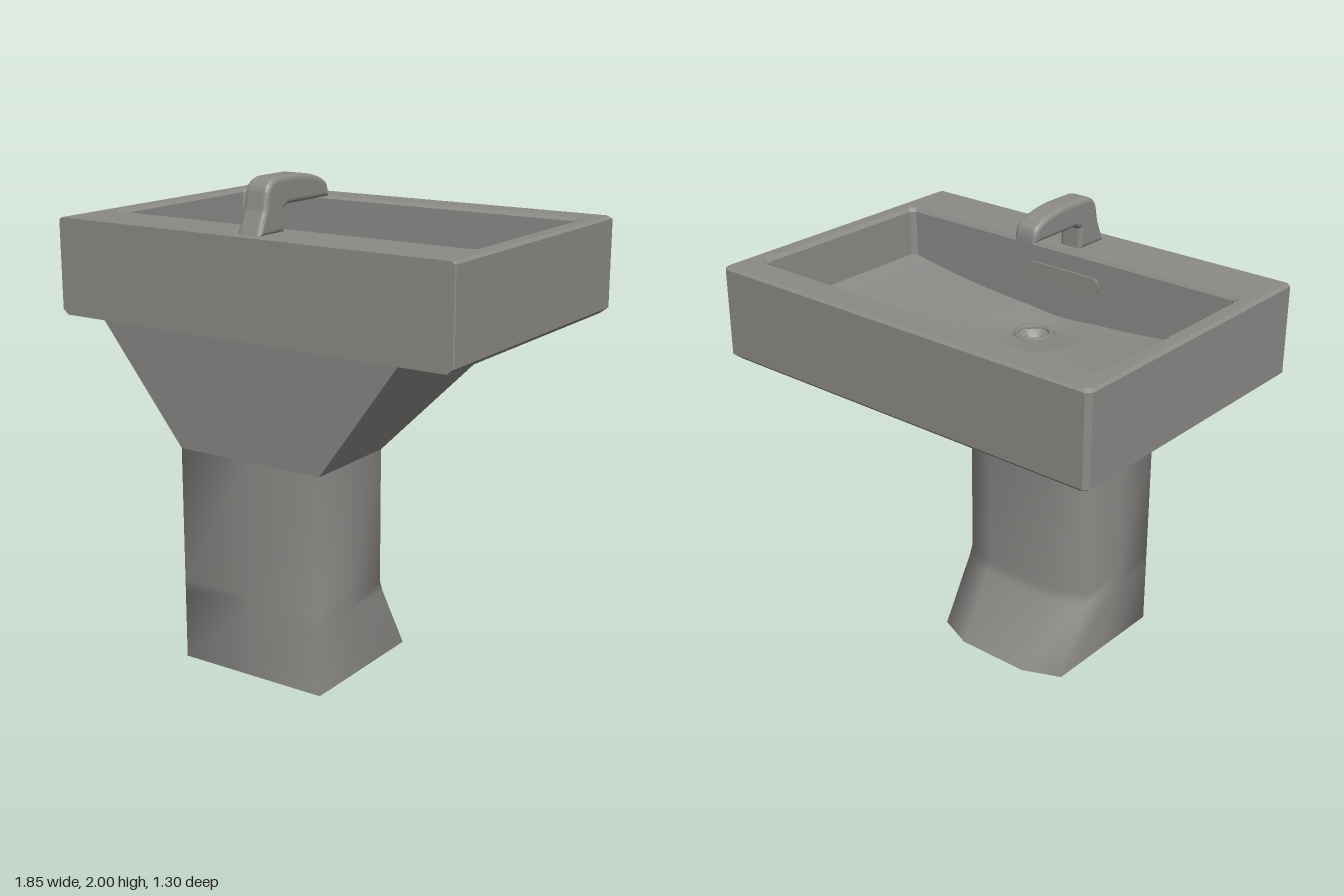
import * as THREE from 'three';

// Skin a stack of equal-length rings [[x, y, z], ...], with a flat cap under the first
function loft(rings, smooth) {
  const n = rings[0].length;
  const pos = rings.flat(2);
  const index = [];
  for (let r = 0; r < rings.length - 1; r++) {
    for (let i = 0; i < n; i++) {
      const a = r * n + i, b = r * n + (i + 1) % n;
      index.push(a, b, b + n, a, b + n, a + n);
    }
  }
  const cap = pos.length / 3;
  pos.push(...rings[0].flat());
  for (let i = 1; i < n - 1; i++) index.push(cap, cap + i + 1, cap + i);
  let geo = new THREE.BufferGeometry();
  geo.setAttribute('position', new THREE.Float32BufferAttribute(pos, 3));
  geo.setIndex(index);
  if (!smooth) geo = geo.toNonIndexed();
  geo.computeVertexNormals();
  return geo;
}

// Rectangle with cut corners: c on the free side, d on the wall side
function cutRect(y, x, zFree, zWall, c, d) {
  const half = [[x - d, zWall], [x, zWall - d], [x, zFree + c], [x - c, zFree]];
  const other = half.map(([px, pz]) => [-px, pz]).reverse();
  return [...half, ...other].map(([px, pz]) => [px, y, pz]);
}

// Section with a straight wall side and a bowed free side
function bowed(y, x, zWall, xBow, zCorner, zBow) {
  const half = [[x, zWall], [x, (zWall + zCorner) / 2], [x, zCorner], [xBow, zBow]];
  const other = half.map(([px, pz]) => [-px, pz]).reverse();
  return [[0, zWall], ...half, ...other].map(([px, pz]) => [px, y, pz]);
}

export function createModel() {
  const model = new THREE.Group();
  const ceramic = new THREE.MeshStandardMaterial({ color: 0x8c8a87 });
  const add = (name, geo) => {
    const mesh = new THREE.Mesh(geo, ceramic);
    mesh.name = name;
    model.add(mesh);
    return mesh;
  };

  // Basin: outer shell, rim and inner walls as one skin
  add('basin', loft([
    cutRect(1.39, 0.9, -0.625, 0.65, 0.02, 0.004),
    cutRect(1.412, 0.925, -0.65, 0.65, 0.02, 0.004),
    cutRect(1.78, 0.925, -0.65, 0.65, 0.02, 0.004),
    cutRect(1.79, 0.912, -0.638, 0.65, 0.02, 0.004),
    cutRect(1.79, 0.862, -0.52, 0.395, 0.035, 0.02),
    cutRect(1.775, 0.845, -0.505, 0.385, 0.035, 0.02),
    cutRect(1.43, 0.835, -0.495, 0.38, 0.035, 0.02),
  ], false));

  // Basin floor, dished along its length and falling to the drain
  const floor = new THREE.PlaneGeometry(1.68, 0.885, 56, 36);
  floor.rotateX(-Math.PI / 2).translate(0, 0, -0.0575);
  const p = floor.attributes.position;
  for (let i = 0; i < p.count; i++) {
    const x = p.getX(i), z = p.getZ(i);
    const r = Math.hypot(x, z - 0.2);
    const dish = 1.5 + 0.08 * (x / 0.84) ** 2;
    const funnel = 0.035 * Math.max(0, 1 - r / 0.25);
    p.setY(i, r < 0.06 ? 1.42 : dish - funnel);
  }
  floor.computeVertexNormals();
  add('basinFloor', floor);

  // Drain collar
  const collar = new THREE.TorusGeometry(0.075, 0.012, 6, 16);
  collar.rotateX(Math.PI / 2);
  add('drainCollar', collar).position.set(0, 1.474, 0.2);

  // Overflow slot under the tap
  const slot = new THREE.Shape();
  slot.moveTo(-0.16, -0.035);
  slot.lineTo(0.16, -0.035);
  slot.absarc(0.16, 0, 0.035, -Math.PI / 2, Math.PI / 2, false);
  slot.lineTo(-0.16, 0.035);
  slot.absarc(-0.16, 0, 0.035, Math.PI / 2, Math.PI * 1.5, false);
  add('overflowSlot', new THREE.ExtrudeGeometry(slot, { depth: 0.008, bevelEnabled: false, curveSegments: 6 }))
    .position.set(0, 1.67, 0.376);

  // Narrow ledge at the foot of the free-side wall
  add('wallLedge', new THREE.BoxGeometry(0.44, 0.012, 0.016)).position.set(0, 1.52, -0.49);

  // Tapered support between column and basin
  add('support', loft([
    bowed(0.905, 0.335, 0.62, 0.17, 0.185, 0.115),
    bowed(1.395, 0.7, 0.65, 0.5, -0.315, -0.385),
  ], false));

  // Column with a foot that kicks out
  add('column', loft([
    bowed(0, 0.335, 0.62, 0.17, 0, -0.07),
    bowed(0.29, 0.335, 0.62, 0.17, 0.165, 0.095),
    bowed(0.34, 0.335, 0.62, 0.17, 0.185, 0.115),
    bowed(0.905, 0.335, 0.62, 0.17, 0.185, 0.115),
  ], true));

  // Tap: side profile (z, y) swept across its width, with softened edges
  const profile = new THREE.Shape();
  profile.moveTo(0.6, 1.785);
  profile.lineTo(0.56, 1.88);
  profile.lineTo(0.545, 1.95);
  profile.quadraticCurveTo(0.53, 1.995, 0.47, 2);
  profile.lineTo(0.33, 2);
  profile.quadraticCurveTo(0.2, 1.99, 0.15, 1.95);
  profile.quadraticCurveTo(0.135, 1.93, 0.135, 1.89);
  profile.lineTo(0.41, 1.89);
  profile.lineTo(0.435, 1.875);
  profile.lineTo(0.435, 1.785);
  const tap = new THREE.ExtrudeGeometry(profile, {
    depth: 0.066, bevelEnabled: true, bevelThickness: 0.022, bevelSize: 0.02,
    bevelOffset: -0.02, bevelSegments: 4, curveSegments: 6,
  });
  tap.rotateY(-Math.PI / 2).translate(0.033, 0, 0);
  add('tap', tap);

  return model;
}
